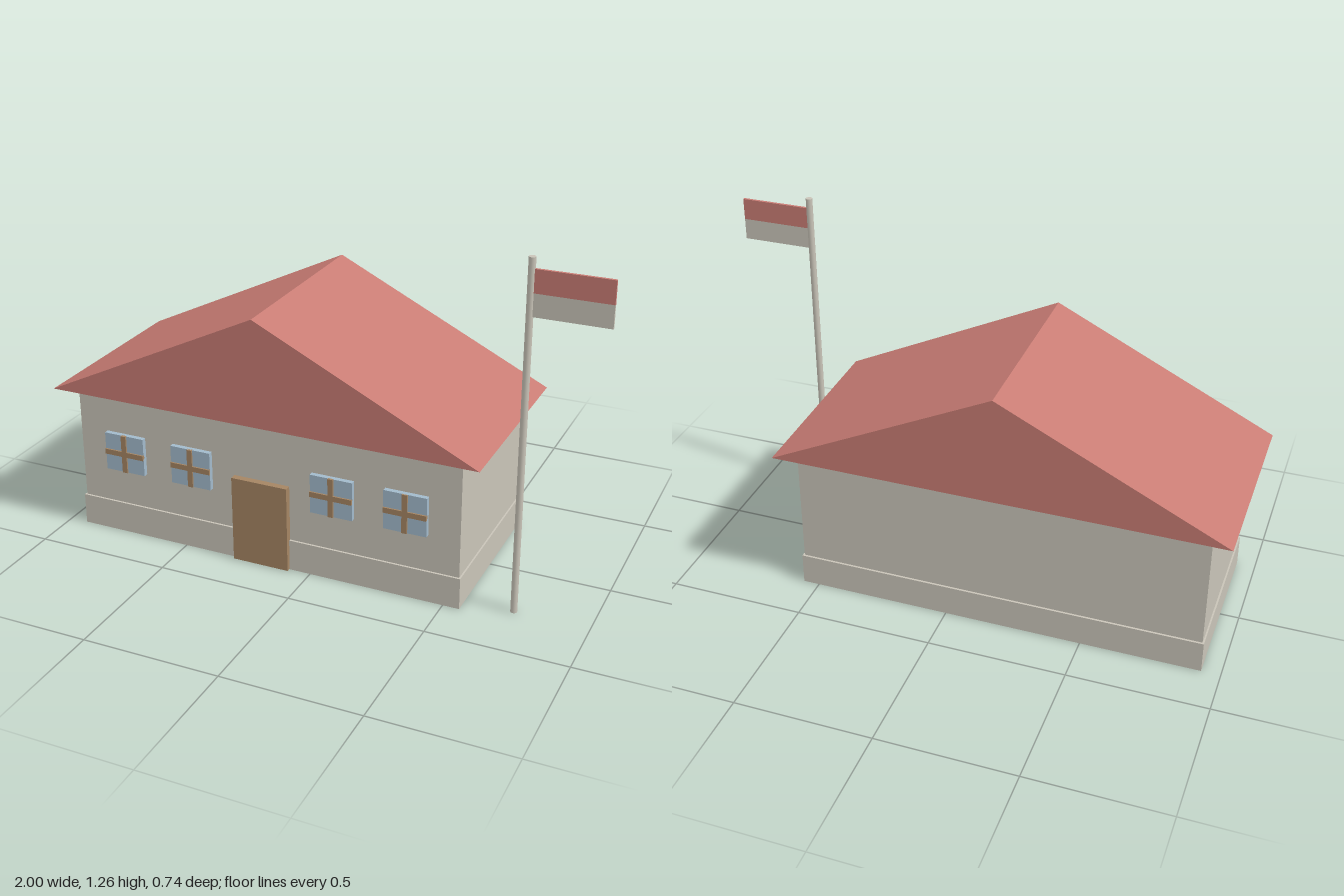
import * as THREE from 'three';

const paint = (name, color) => {
  const m = new THREE.MeshStandardMaterial({ color });
  m.name = name;
  return m;
};

export function createModel() {
  const stone = paint('stone', 0xc9c4b8);
  const red = paint('red', 0xc87c74);
  const wood = paint('wood', 0xa58563);
  const glass = paint('glass', 0xa2bacb);

  const model = new THREE.Group();
  model.name = 'houseWithFlag';

  const add = (parent, name, geometry, material) => {
    const mesh = new THREE.Mesh(geometry, material);
    mesh.name = name;
    parent.add(mesh);
    return mesh;
  };
  // Box given by its limits on each axis
  const box = (parent, name, material, [x0, x1], [y0, y1], [z0, z1]) => {
    const mesh = add(parent, name, new THREE.BoxGeometry(x1 - x0, y1 - y0, z1 - z0), material);
    mesh.position.set((x0 + x1) / 2, (y0 + y1) / 2, (z0 + z1) / 2);
    return mesh;
  };

  // Walls on a slightly wider plinth
  const house = new THREE.Group();
  house.name = 'house';
  model.add(house);
  box(house, 'plinth', stone, [-0.932, 0.56], [0, 0.117], [-0.325, 0.325]);
  box(house, 'walls', stone, [-0.926, 0.554], [0.117, 0.556], [-0.317, 0.317]);

  // Gabled roof with its triangles facing front and back
  const gable = new THREE.Shape([
    new THREE.Vector2(-1, 0.555),
    new THREE.Vector2(0.628, 0.555),
    new THREE.Vector2(-0.186, 0.95),
  ]);
  const roof = new THREE.ExtrudeGeometry(gable, { depth: 0.736, bevelEnabled: false });
  roof.translate(0, 0, -0.368);
  add(house, 'roof', roof, red);

  box(house, 'door', wood, [-0.295, -0.08], [0.002, 0.328], [0.31, 0.342]);

  // Four windows, each a pane with a cross of wooden bars
  for (const x of [-0.736, -0.463, 0.087, 0.36]) {
    const windowGroup = new THREE.Group();
    windowGroup.name = 'window';
    windowGroup.position.set(x, 0.328, 0);
    house.add(windowGroup);
    box(windowGroup, 'pane', glass, [-0.079, 0.079], [-0.073, 0.073], [0.31, 0.335]);
    box(windowGroup, 'uprightBar', wood, [-0.01, 0.01], [-0.073, 0.073], [0.33, 0.341]);
    box(windowGroup, 'crossBar', wood, [-0.079, 0.079], [-0.01, 0.01], [0.33, 0.341]);
  }

  // Pole with a two-band flag
  const flagpole = new THREE.Group();
  flagpole.name = 'flagpole';
  flagpole.position.set(0.734, 0, 0.263);
  model.add(flagpole);
  add(flagpole, 'pole', new THREE.CylinderGeometry(0.012, 0.012, 1.265, 16), stone).position.y = 0.6325;
  box(flagpole, 'upperFlagBand', red, [0.008, 0.266], [1.148, 1.227], [-0.005, 0.005]);
  box(flagpole, 'lowerFlagBand', stone, [0.008, 0.266], [1.07, 1.148], [-0.005, 0.005]);

  return model;
}
